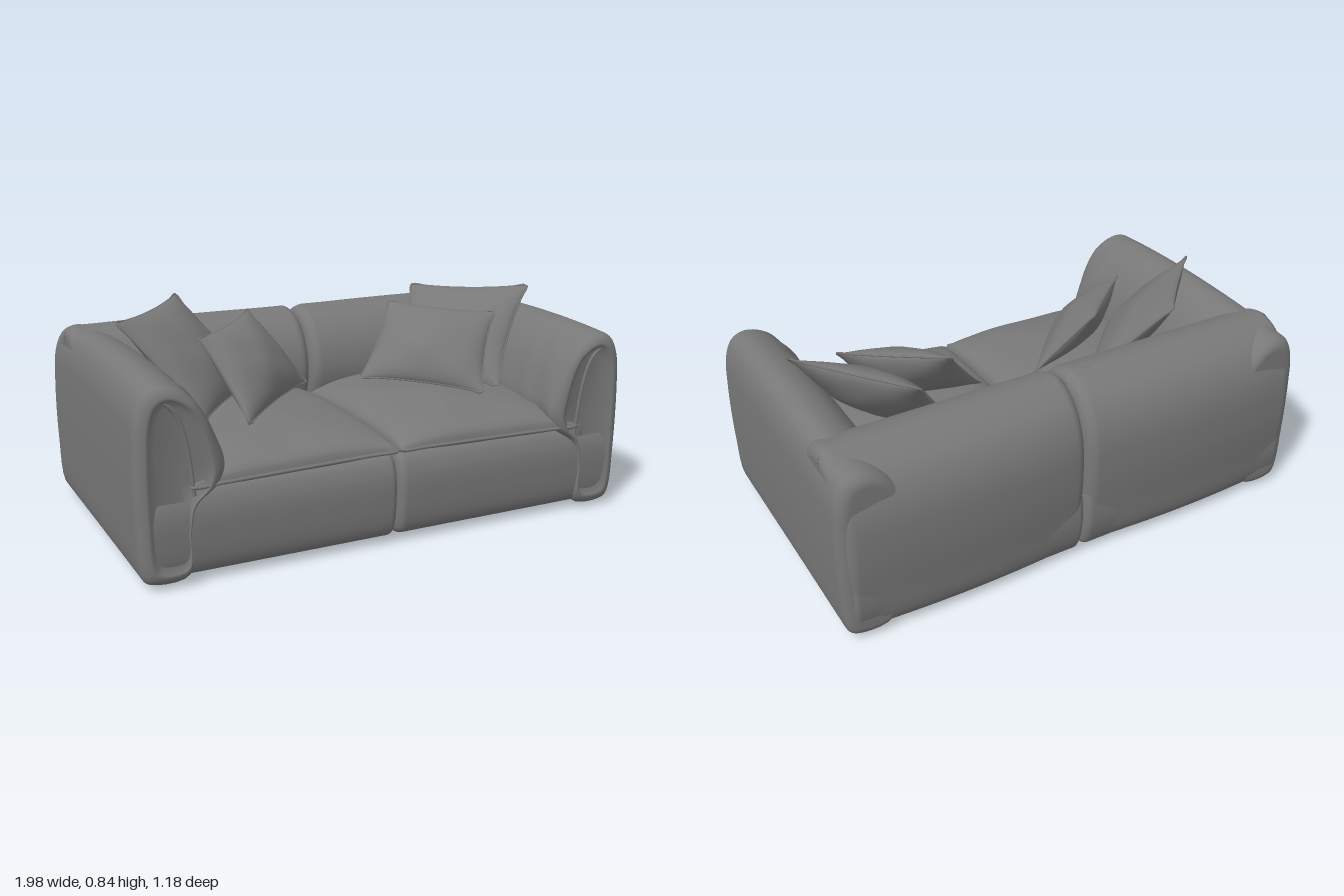
import * as THREE from 'three';
import { mergeGeometries } from 'three/addons/utils/BufferGeometryUtils.js';

const fabric = new THREE.MeshStandardMaterial({ color: 0x787878 });
fabric.name = 'grey fabric';

function add(group, name, geometry) {
  const mesh = new THREE.Mesh(geometry, fabric);
  mesh.name = name;
  group.add(mesh);
}

// Indexed surface; a closed one is turned outwards by the sign of its volume
function surface(points, index, closed = true) {
  let volume = 0;
  for (let i = 0; i < index.length; i += 3) {
    const [a, b, c] = [points[index[i]], points[index[i + 1]], points[index[i + 2]]];
    volume += a.dot(b.clone().cross(c));
  }
  if (closed && volume < 0) index.reverse();
  const geo = new THREE.BufferGeometry().setFromPoints(points);
  geo.setIndex(index);
  geo.computeVertexNormals();
  return geo;
}

// Padded block: smooth closed profile swept from t0 to t1, with rounded ends
function padded(profile, t0, t1, r, dimple, map) {
  const curve = new THREE.CatmullRomCurve3(profile.map(([a, b]) => new THREE.Vector3(a, b, 0)), true);
  const N = 72, ring = curve.getPoints(N).slice(0, N);
  const box = new THREE.Box3().setFromPoints(ring);
  const mid = box.getCenter(new THREE.Vector3()), half = box.getSize(new THREE.Vector3()).multiplyScalar(0.5);
  const rows = [];
  const K = 8, M = 24;
  for (let i = 0; i <= K; i++) {
    const a = (i / K) * Math.PI / 2;
    rows.push([t0 + r * (1 - Math.sin(a)), r * (1 - Math.cos(a))]);
  }
  rows.reverse();
  const start = [[t0, r * 1.5], ...rows];
  for (let i = 1; i < M; i++) start.push([t0 + r + (t1 - t0 - 2 * r) * i / M, 0]);
  const end = rows.map(([t, inset]) => [t1 - (t - t0), inset]).reverse();
  const all = [...start, ...end, [t1 - dimple, r * 1.7]];
  const points = [], index = [];
  for (const [t, inset] of all) {
    for (const p of ring) {
      points.push(map(mid.x + (p.x - mid.x) * (1 - inset / half.x), mid.y + (p.y - mid.y) * (1 - inset / half.y), t));
    }
  }
  for (let i = 0; i < all.length - 1; i++) {
    for (let j = 0; j < N; j++) {
      const a = i * N + j, b = i * N + (j + 1) % N;
      index.push(a, b, a + N, b, b + N, a + N);
    }
  }
  const last = (all.length - 1) * N;
  points.push(map(mid.x, mid.y, t0), map(mid.x, mid.y, t1 - dimple));
  for (let j = 0; j < N; j++) {
    const k = (j + 1) % N;
    index.push(points.length - 2, k, j, points.length - 1, last + j, last + k);
  }
  return surface(points, index);
}

// Stuffed cushion between four corners, with a sharp seam and piping
function cushion(corners, up, down, power, pinch, pipe) {
  const [tl, tr, br, bl] = corners.map((c) => new THREE.Vector3(...c));
  const normal = br.clone().sub(tl).cross(tr.clone().sub(bl)).normalize();
  const N = 28;
  const at = (u, v, depth) => {
    const x = u * (1 - pinch * (1 - v * v)), y = v * (1 - pinch * (1 - u * u));
    const top = tl.clone().lerp(tr, (x + 1) / 2), low = bl.clone().lerp(br, (x + 1) / 2);
    const puff = Math.pow(Math.max(0, (1 - u * u) * (1 - v * v)), power);
    const crease = 1 + 0.05 * Math.sin(6 * u + 2 * v) * Math.sin(5 * v - u);
    return low.lerp(top, (y + 1) / 2).addScaledVector(normal, depth * puff * crease);
  };
  const sides = [up, -down].map((depth) => {
    const points = [], index = [];
    for (let i = 0; i <= N; i++) {
      for (let j = 0; j <= N; j++) {
        // sine spacing gathers rows near the seam
        points.push(at(Math.sin((j / N - 0.5) * Math.PI), Math.sin((i / N - 0.5) * Math.PI), depth));
      }
    }
    for (let i = 0; i < N; i++) {
      for (let j = 0; j < N; j++) {
        const a = i * (N + 1) + j, b = a + N + 1;
        index.push(a, a + 1, b, a + 1, b + 1, b);
      }
    }
    const n = points[1].clone().sub(points[0]).cross(points[N + 1].clone().sub(points[0]));
    if (n.dot(normal) * depth < 0) index.reverse();
    return surface(points, index, false);
  });
  const edge = [];
  for (let s = 0; s < 4; s++) {
    for (let i = 0; i < 8; i++) {
      const k = i / 4 - 1;
      edge.push(at(...[[k, 1], [1, -k], [-k, -1], [-1, k]][s], 0));
    }
  }
  const seam = new THREE.TubeGeometry(new THREE.CatmullRomCurve3(edge, true), 96, pipe, 6, true);
  seam.deleteAttribute('uv');
  return mergeGeometries([...sides, seam]);
}

// Profiles: base and back as (z, y), arm as (x, y)
const baseProfile = [[0.52, 0.022], [0.56, 0.05], [0.58, 0.18], [0.57, 0.29], [0.53, 0.345], [0.1, 0.35],
  [-0.4, 0.35], [-0.54, 0.32], [-0.57, 0.18], [-0.55, 0.06], [-0.52, 0.022], [0, 0.02]];
const backProfile = [[-0.53, 0.022], [-0.565, 0.06], [-0.585, 0.2], [-0.597, 0.38], [-0.582, 0.55], [-0.53, 0.655],
  [-0.45, 0.715], [-0.37, 0.73], [-0.27, 0.695], [-0.195, 0.6], [-0.17, 0.48], [-0.2, 0.36], [-0.28, 0.2], [-0.32, 0.03]];
const armProfile = [[0.95, 0.022], [0.975, 0.05], [0.99, 0.25], [0.99, 0.5], [0.978, 0.64], [0.945, 0.71], [0.89, 0.732],
  [0.81, 0.705], [0.735, 0.62], [0.685, 0.5], [0.672, 0.42], [0.7, 0.355], [0.775, 0.29], [0.8, 0.18], [0.81, 0.03]];

export function createModel() {
  const sofa = new THREE.Group();
  sofa.name = 'sofa';

  for (const s of [1, -1]) {
    const half = new THREE.Group();
    half.name = s > 0 ? 'leftModule' : 'rightModule';
    sofa.add(half);

    add(half, 'base', padded(baseProfile, 0.003, 0.96, 0.03, 0, (z, y, x) => new THREE.Vector3(s * x, y, z)));

    // Back bows outwards a little along its length
    add(half, 'backrest', padded(backProfile, 0.003, 0.97, 0.045, 0, (z, y, x) =>
      new THREE.Vector3(s * x, y, z + (z < -0.4 ? 0.1 * (x - 0.5) ** 2 : 0))));

    // Arm dips slightly towards the front and the back, with soft folds at its front
    add(half, 'armrest', padded(armProfile, -0.56, 0.587, 0.045, 0.022, (x, y, z) => {
      const fold = x < 0.8 && y > 0.35 ? 0.006 * Math.sin(z * 45 + y * 14) * THREE.MathUtils.smoothstep(z, 0.1, 0.5) : 0;
      const dip = z > 0.1 ? 0.13 * (z - 0.1) ** 2 : 0.1 * (z - 0.1) ** 2;
      return new THREE.Vector3(s * (x + fold), y * (1 - dip), z);
    }));

    // Seam round the front panel of the arm
    const seam = [[0.965, 0.3, 0.565], [0.968, 0.55, 0.57], [0.945, 0.635, 0.575], [0.9, 0.66, 0.576], [0.85, 0.625, 0.574],
      [0.815, 0.54, 0.572], [0.795, 0.42, 0.57], [0.785, 0.32, 0.568]].map(([x, y, z]) => new THREE.Vector3(s * x, y, z));
    add(half, 'armPiping', new THREE.TubeGeometry(new THREE.CatmullRomCurve3(seam), 48, 0.007, 6));

    add(half, 'seatCushion', cushion([[s * 0.004, 0.365, -0.32], [s * 0.79, 0.355, -0.32],
      [s * 0.79, 0.35, 0.575], [s * 0.004, 0.365, 0.575]], s > 0 ? 0.115 : 0.04, s > 0 ? 0.04 : 0.115, 0.36, 0.008, 0.007));

    for (const z of [0.485, -0.48]) {
      const foot = new THREE.CylinderGeometry(0.03, 0.026, 0.05, 20);
      foot.translate(s * 0.905, 0.025, z);
      add(half, 'foot', foot);
    }
  }

  // Scatter cushions, corners: top left, top right, bottom right, bottom left
  const scatter = {
    largeCushionRight: [[-0.88, 0.815, 0.04], [-0.53, 0.83, -0.33], [-0.29, 0.48, -0.12], [-0.62, 0.46, 0.22]],
    smallCushionRight: [[-0.6, 0.75, 0.14], [-0.295, 0.78, -0.145], [-0.11, 0.5, 0.0], [-0.5, 0.475, 0.36]],
    largeCushionLeft: [[0.54, 0.79, -0.3], [0.88, 0.82, 0.08], [0.62, 0.46, 0.27], [0.32, 0.475, -0.1]],
    smallCushionLeft: [[0.33, 0.765, -0.125], [0.665, 0.74, 0.16], [0.5, 0.465, 0.345], [0.115, 0.5, 0.04]],
  };
  for (const [name, corners] of Object.entries(scatter)) {
    add(sofa, name, cushion(corners, 0.075, 0.075, 0.6, 0.07, 0.004));
  }
  return sofa;
}
